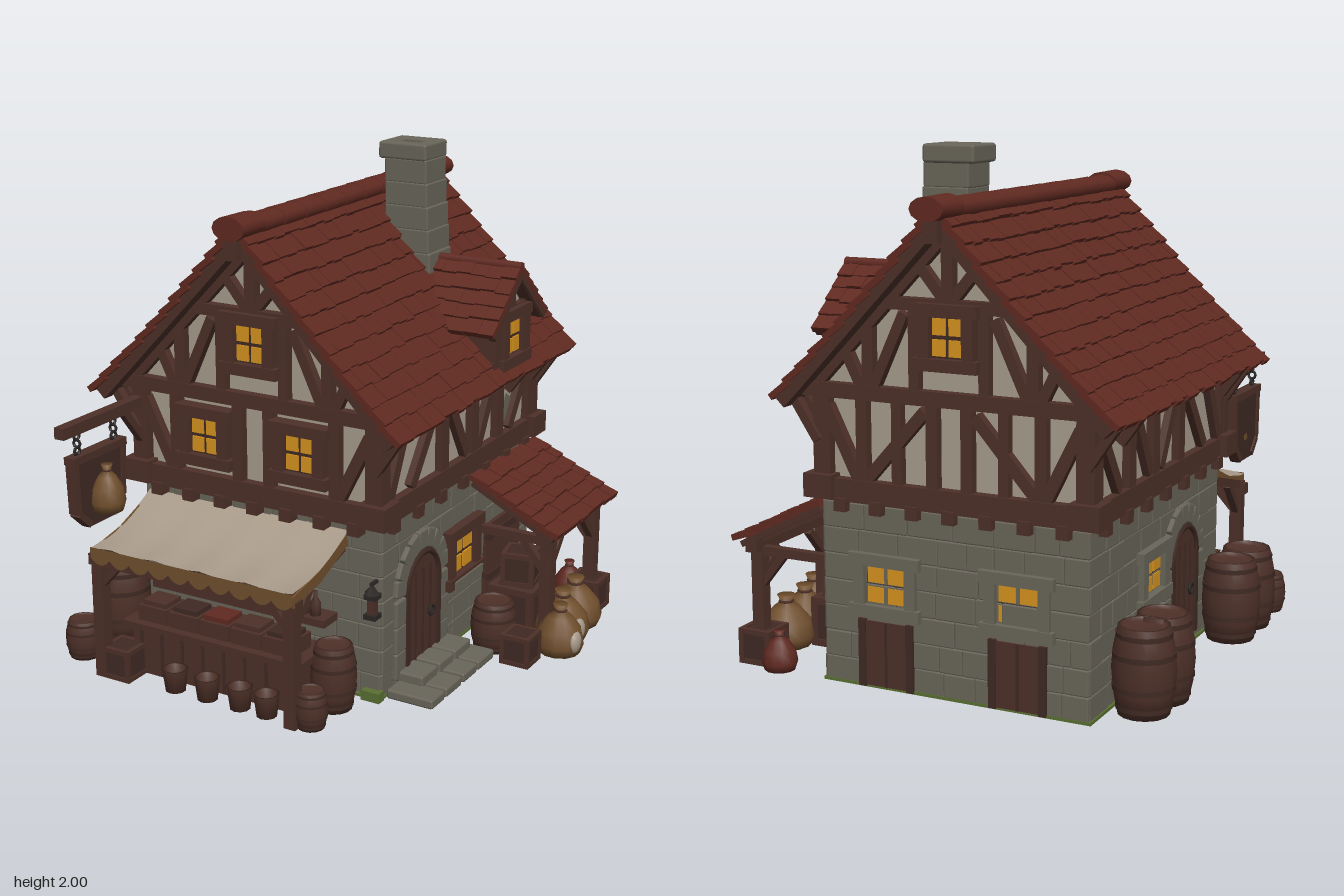
import * as THREE from 'three';
import { mergeGeometries } from 'three/addons/utils/BufferGeometryUtils.js';
import { RoundedBoxGeometry } from 'three/addons/geometries/RoundedBoxGeometry.js';

const colours = { roof: 0x602a21, wood: 0x4d3028, darkWood: 0x3f2923, stone: 0x696559, plaster: 0xa89d8d,
  cloth: 0xa89a89, sackcloth: 0x704f2d, glow: 0xd6931f, grass: 0x5a6f32, iron: 0x2b2725 };
const M = {};
for (const [name, color] of Object.entries(colours)) {
  M[name] = new THREE.MeshStandardMaterial({ color });
  M[name].name = name;
}
M.cloth.side = M.sackcloth.side = THREE.DoubleSide;

let seed = 7;
const rnd = (a = 0, b = 1) => { seed = (seed * 16807) % 2147483647; return a + (b - a) * seed / 2147483647; };
const V = (x, y, z) => new THREE.Vector3(x, y, z);

function add(parent, name, geo, mat, x = 0, y = 0, z = 0) {
  const m = new THREE.Mesh(geo, mat);
  m.name = name;
  m.position.set(x, y, z);
  parent.add(m);
  return m;
}
function group(parent, name, x = 0, y = 0, z = 0, ry = 0) {
  const g = new THREE.Group();
  g.name = name;
  g.position.set(x, y, z);
  g.rotation.y = ry;
  parent.add(g);
  return g;
}
const box = (p, name, mat, w, h, d, x, y, z) => add(p, name, new THREE.BoxGeometry(w, h, d), mat, x, y, z);
function beam(p, name, a, b, t, mat = M.wood, depth = t) {
  const dir = b.clone().sub(a);
  const m = add(p, name, new THREE.BoxGeometry(t, dir.length(), depth), mat);
  m.position.copy(a).add(b).multiplyScalar(0.5);
  m.quaternion.setFromUnitVectors(V(0, 1, 0), dir.normalize());
}
// Timbers on a wall facing +z of the parent: [x1, y1, x2, y2, thickness]
const timbers = (p, list, z) => list.forEach(([a, b, c, d, t]) =>
  beam(p, 'wallTimber', V(a, b, z), V(c, d, z), t, M.wood, 0.045));

// One slope of overlapping tiles, running down +x from the ridge
function slope(p, name, len, width, angle, rows, cols, sag = 0) {
  const g = group(p, name), tiles = [], step = len / rows, w = width / cols;
  for (let i = 0; i < rows; i++) for (let j = 0; j < cols; j++) {
    const t = (i + 0.5) / rows;
    const geo = new THREE.BoxGeometry(step * 1.3, 0.024, w * 1.01);
    geo.rotateZ(0.14);
    geo.translate(t * len + rnd(-0.006, 0.006), rnd(-0.003, 0.003) - sag * Math.sin(Math.PI * t), (j + 0.5) * w - width / 2);
    tiles.push(geo);
  }
  add(g, 'tiles', mergeGeometries(tiles), M.roof);
  box(g, 'roofBoards', M.wood, len * 0.96, 0.025, width * 0.97, len / 2, -0.028 - sag, 0);
  g.rotation.z = -angle;
}
function gableRoof(p, x, y, z, len, width, angle, rows, cols, sag) {
  for (const turn of [0, Math.PI])
    slope(group(p, 'roofSide', x, y, z, turn), 'slope', len, width, angle, rows, cols, sag);
}

// Leaded window facing +z
function windowUnit(p, x, y, z, ry, w, h, mat = M.wood) {
  const g = group(p, 'window', x, y, z, ry), f = 0.045;
  box(g, 'windowBacking', M.darkWood, w, h, 0.02, 0, 0, 0);
  for (const sx of [-1, 1]) {
    box(g, 'windowJamb', mat, f, h + f * 2, 0.05, sx * (w + f) / 2, 0, 0.01);
    box(g, 'windowRail', mat, w + f * 2.8, f, 0.06, 0, sx * (h + f) / 2, 0.012);
    for (const sy of [-1, 1])
      box(g, 'pane', M.glow, w * 0.4, h * 0.4, 0.008, sx * w * 0.25, sy * h * 0.25, 0.013);
  }
}

// Arched plank door facing +z with a ring of stones
function archDoor(p, x, z, ry, w, h) {
  const g = group(p, 'archedDoor', x, 0.05, z, ry), r = w / 2, s = new THREE.Shape();
  s.moveTo(-r, 0).lineTo(r, 0).lineTo(r, h - r).absarc(0, h - r, r, 0, Math.PI, false).lineTo(-r, 0);
  add(g, 'doorLeaf', new THREE.ExtrudeGeometry(s, { depth: 0.03, bevelEnabled: false, curveSegments: 12 }), M.wood);
  for (let i = -1; i <= 1; i++) box(g, 'plankGap', M.darkWood, 0.007, h * 0.82, 0.006, i * w * 0.24, h * 0.45, 0.032);
  add(g, 'doorRing', new THREE.TorusGeometry(0.02, 0.006, 6, 12), M.iron, r * 0.5, h * 0.42, 0.038);
  const arc = [];
  add(g, 'doorFrame', new THREE.TorusGeometry(r, 0.014, 5, 14, Math.PI), M.darkWood, 0, h - r, 0.03);
  for (const sx of [-1, 1]) {
    box(g, 'doorJamb', M.darkWood, 0.025, h - r, 0.04, sx * r, (h - r) / 2, 0.02);
    for (let i = 0; i < 3; i++) arc.push(new RoundedBoxGeometry(0.08, 0.11, 0.05, 1, 0.008).translate(sx * (r + 0.05), 0.05 + i * 0.108, 0.01));
  }
  for (let i = 0; i < 9; i++) {
    const a = Math.PI * (i + 0.5) / 9;
    arc.push(new RoundedBoxGeometry(0.08, 0.068, 0.05, 1, 0.008).translate(r + 0.05, 0, 0).rotateZ(a).translate(0, h - r, 0.01));
  }
  add(g, 'doorStones', mergeGeometries(arc), M.stone);
}

const lathe = (pts, n = 14) => new THREE.LatheGeometry(pts.map(q => new THREE.Vector2(...q)), n);
function barrel(p, x, z, r, h) {
  const g = group(p, 'barrel', x, 0, z);
  add(g, 'staves', lathe([[0, 0], [r * 0.8, 0], [r * 0.94, h * 0.25], [r, h * 0.5], [r * 0.94, h * 0.75], [r * 0.8, h], [r * 0.7, h], [r * 0.7, h * 0.95], [0, h * 0.95]]), M.wood);
  for (const [t, k] of [[0.1, 0.87], [0.32, 0.98], [0.68, 0.98], [0.9, 0.87]])
    add(g, 'hoop', new THREE.CylinderGeometry(r * k, r * k, h * 0.06, 14), M.darkWood, 0, h * t, 0);
}
function sack(p, x, y, z, r, h, mat = M.sackcloth) {
  const g = group(p, 'sack', x, y, z, rnd(0, 3));
  add(g, 'sackBody', lathe([[0, 0], [r * 0.85, 0.005], [r, h * 0.22], [r * 0.88, h * 0.5], [r * 0.5, h * 0.75], [r * 0.2, h * 0.87], [r * 0.32, h], [0, h * 0.96]], 12), mat);
  add(g, 'sackTie', new THREE.TorusGeometry(r * 0.22, r * 0.06, 5, 10).rotateX(Math.PI / 2), M.wood, 0, h * 0.87, 0);
}
function crate(p, x, y, z, s, h = s, ry = 0) {
  const g = group(p, 'crate', x, y + h / 2, z, ry), b = s * 0.14;
  box(g, 'crateBox', M.darkWood, s * 0.92, h * 0.92, s * 0.92, 0, 0, 0);
  for (let k = 0; k < 4; k++) {
    const f = group(g, 'crateSide', 0, 0, 0, k * Math.PI / 2), e = s / 2 - b / 2, v = h / 2 - b / 2;
    for (const q of [-1, 1]) {
      box(f, 'crateRail', M.wood, s, b, b, 0, q * v, e);
      beam(f, 'crateCross', V(-e, -v * q, e - 0.004), V(e, v * q, e - 0.004), b * 0.7);
    }
    box(f, 'cratePost', M.wood, b, h, b, e, 0, e);
  }
}

// Courses of slightly uneven blocks on a wall facing +z
function masonry(p, x, z, ry, width) {
  const g = group(p, 'stoneCourses', x, 0, z, ry), list = [];
  for (let r = 0; r < 7; r++) for (let u = -width / 2; u < width / 2 - 0.02;) {
    let w = rnd(0.09, 0.19);
    if (u + w > width / 2 - 0.07) w = width / 2 - u;
    list.push(new RoundedBoxGeometry(w, 0.1, 0.03 + rnd(0, 0.01), 1, 0.006).translate(u + w / 2, r * 0.1 + 0.05, 0));
    u += w;
  }
  add(g, 'wallStones', mergeGeometries(list), M.stone);
}

export function createModel() {
  const root = new THREE.Group();
  root.name = 'tavernHouse';
  const C = -0.135, ZC = -0.16, HP = Math.PI / 2;

  // Ground floor
  box(root, 'groundPlate', M.grass, 1.1, 0.012, 1.32, C, 0.006, -0.17);
  box(root, 'mossTuft', M.grass, 0.08, 0.04, 0.04, 0.38, 0.02, 0.49);
  box(root, 'groundFloor', M.stone, 1.05, 0.7, 1.27, C, 0.362, -0.175);
  masonry(root, C, 0.46, 0, 1.08);
  masonry(root, C, -0.81, Math.PI, 1.08);
  masonry(root, 0.395, -0.175, HP, 1.29);
  masonry(root, -0.66, -0.175, -HP, 1.29);

  // Upper floor and gable in plaster
  const wall = new THREE.Shape();
  wall.moveTo(-0.53, 0.7).lineTo(0.53, 0.7).lineTo(0.53, 1.13).lineTo(0, 1.72).lineTo(-0.53, 1.13);
  add(root, 'plasterWalls', new THREE.ExtrudeGeometry(wall, { depth: 1.29, bevelEnabled: false }), M.plaster, C, 0, -0.81);
  beam(root, 'barePlasterPatch', V(0.396, 0.82, -0.55), V(0.396, 0.93, -0.62), 0.008, M.stone, 0.06);

  // Timber framing on both gables
  for (const [z, ry] of [[0.485, 0], [-0.815, Math.PI]]) {
    const g = group(root, 'gableFraming', C, 0, z, ry);
    timbers(g, [[-0.56, 0.75, 0.56, 0.75, 0.085], [-0.64, 1.12, 0.64, 1.12, 0.055], [-0.3, 1.455, 0.3, 1.455, 0.045], [0, 1.46, 0, 1.72, 0.045]], 0.012);
    windowUnit(g, 0, 1.345, 0.02, 0, 0.13, 0.15);
    for (const s of [-1, 1]) {
      timbers(g, [[s * 0.53, 0.72, s * 0.53, 1.14, 0.07], [s * 0.07, 0.79, s * 0.07, 1.1, 0.045],
        [s * 0.36, 0.79, s * 0.36, 1.1, 0.045], [s * 0.38, 0.8, s * 0.51, 1.06, 0.045], [0, 1.73, s * 0.58, 1.12, 0.06],
        [s * 0.14, 1.12, s * 0.14, 1.46, 0.04], [s * 0.33, 1.12, s * 0.33, 1.36, 0.045], [s * 0.18, 1.42, s * 0.31, 1.14, 0.04],
        [s * 0.36, 1.14, s * 0.42, 1.26, 0.04], [s * 0.02, 1.48, s * 0.12, 1.6, 0.04]], 0.008);
      // Windows at the front, crossed braces at the back
      if (ry === 0) windowUnit(g, s * 0.215, 0.95, 0.02, 0, 0.13, 0.15);
      else timbers(g, [[s * 0.1, 1.07, s * 0.34, 0.8, 0.045], [s * 0.215, 0.79, s * 0.215, 1.1, 0.04]], 0.006);
      beam(g, 'bargeboard', V(0, 1.755, 0.095), V(s * 0.65, 1.075, 0.095), 0.05, M.wood, 0.05);
      beam(g, 'eaveStrut', V(s * 0.54, 0.93, 0.03), V(s * 0.64, 1.08, 0.03), 0.035);
      box(g, 'cornerBlock', M.wood, 0.12, 0.09, 0.12, s * 0.535, 0.76, 0);
    }
    for (let i = 0; i < 7; i++) box(g, 'corbel', M.wood, 0.05, 0.05, 0.07, -0.45 + i * 0.15, 0.695, 0.01);
  }

  // Timber framing on both long sides, mirrored
  for (const s of [-1, 1]) {
    const g = group(root, 'sideFraming', C + s * 0.53, 0, ZC, s * HP);
    timbers(g, [[-0.66, 0.75, 0.66, 0.75, 0.085], [-0.66, 1.09, 0.66, 1.09, 0.05]], 0.012);
    timbers(g, [-0.63, -0.16, 0.1, 0.33, 0.63].map(u => [s * u, 0.78, s * u, 1.08, 0.06]), 0.008);
    timbers(g, [[-0.59, 0.8, -0.46, 1.07], [-0.42, 0.8, -0.22, 1.07], [-0.12, 1.07, 0.04, 0.8], [0.14, 0.8, 0.29, 1.07], [0.43, 0.8, 0.6, 1.05]]
      .map(([a, b, c, d]) => [s * a, b, s * c, d, 0.048]), 0.006);
    for (let i = 0; i < 7; i++) box(g, 'corbel', M.wood, 0.05, 0.05, 0.07, -0.57 + i * 0.19, 0.695, 0.01);
    for (const u of [-0.63, 0.42, 0.63]) beam(g, 'rafterFoot', V(s * u, 0.97, 0.02), V(s * u, 1.08, 0.1), 0.035);
  }

  // Main roof with low rounded ridge tiles
  gableRoof(root, C, 1.805, ZC, 0.98, 1.56, 0.806, 12, 27, 0.012);
  for (let i = 0; i < 11; i++) {
    const end = i === 0 || i === 10, r = end ? 0.07 : 0.062;
    add(root, 'ridgeTile', new THREE.CylinderGeometry(r, r * 0.95, 0.155, 12).rotateX(HP).scale(1, 0.66, 1), M.roof, C, end ? 1.804 : 1.796, -0.917 + i * 0.149);
  }
  for (const z of [0.615, -0.945]) box(root, 'ridgePost', M.wood, 0.06, 0.1, 0.05, C, 1.735, z);

  // Chimney with an open top
  for (let i = 0; i < 7; i++) {
    const w = 0.187 + (6 - i) * 0.004;
    add(root, 'chimneyCourse', new RoundedBoxGeometry(w + rnd(0, 0.006), 0.098, w - 0.012, 1, 0.008), M.stone, 0.055 + (6 - i) * 0.004, 1.33 + i * 0.093, -0.415);
  }
  box(root, 'flueHole', M.iron, 0.1, 0.01, 0.09, 0.04, 1.96, -0.42);
  for (const s of [-1, 1]) {
    add(root, 'chimneyCap', new RoundedBoxGeometry(0.06, 0.07, 0.19, 1, 0.012), M.stone, 0.04 + s * 0.078, 1.965, -0.42);
    add(root, 'chimneyCap', new RoundedBoxGeometry(0.2, 0.07, 0.055, 1, 0.012), M.stone, 0.04, 1.965, -0.42 + s * 0.067);
  }

  // Dormer
  const d = group(root, 'dormer', 0, 0, -0.415, HP), face = new THREE.Shape();
  face.moveTo(-0.15, 1.1).lineTo(0.15, 1.1).lineTo(0.15, 1.36).lineTo(0, 1.5).lineTo(-0.15, 1.36);
  add(d, 'dormerWall', new THREE.ExtrudeGeometry(face, { depth: 0.33, bevelEnabled: false }), M.plaster, 0, 0, 0.15);
  gableRoof(d, 0, 1.535, 0.345, 0.33, 0.39, 0.75, 5, 6);
  timbers(d, [[-0.17, 1.15, 0.17, 1.15, 0.05], [-0.19, 1.355, 0.19, 1.355, 0.04], [0, 1.36, 0, 1.5, 0.035]], 0.485);
  for (const s of [-1, 1]) {
    timbers(d, [[s * 0.13, 1.13, s * 0.13, 1.38, 0.06]], 0.487);
    beam(d, 'dormerBargeboard', V(0, 1.51, 0.525), V(s * 0.235, 1.295, 0.525), 0.04, M.wood, 0.03);
    box(d, 'dormerSideBoards', M.wood, 0.02, 0.22, 0.29, s * 0.15, 1.24, 0.34);
  }
  windowUnit(d, 0, 1.25, 0.49, 0, 0.13, 0.15);
  add(root, 'dormerRidge', new THREE.CylinderGeometry(0.02, 0.02, 0.4, 8).rotateZ(HP), M.roof, 0.34, 1.535, -0.415);

  // Doors and windows of the ground floor
  archDoor(root, 0.395, 0.175, HP, 0.25, 0.46);
  archDoor(root, -0.66, 0.06, -HP, 0.25, 0.46);
  windowUnit(root, 0.41, 0.395, -0.165, HP, 0.18, 0.16);
  box(root, 'windowSill', M.stone, 0.07, 0.035, 0.24, 0.425, 0.285, -0.17);
  windowUnit(root, -0.665, 0.4, -0.25, -HP, 0.17, 0.14, M.stone);
  for (const x of [0.14, -0.4]) {
    windowUnit(root, x, 0.4, -0.812, Math.PI, 0.17, 0.15, M.stone);
    box(root, 'backDoor', M.wood, 0.19, 0.25, 0.03, x, 0.135, -0.82);
    for (const s of [-1, 1]) box(root, 'backDoorJamb', M.darkWood, 0.03, 0.26, 0.04, x + s * 0.1, 0.135, -0.82);
    box(root, 'backDoorGap', M.darkWood, 0.01, 0.25, 0.008, x, 0.135, -0.835);
  }
  box(root, 'storeDoor', M.wood, 0.03, 0.42, 0.32, 0.415, 0.22, -0.54);
  for (const y of [0.2, 0.38]) box(root, 'storeDoorBar', M.darkWood, 0.04, 0.03, 0.32, 0.42, y, -0.54);

  // Door steps
  for (const [z, w] of [[0.4, 0.11], [0.27, 0.13], [0.13, 0.12], [-0.01, 0.14]]) {
    add(root, 'step', new RoundedBoxGeometry(0.2, 0.04, w, 1, 0.01), M.stone, 0.52, 0.02, z);
    if (z < 0.35) add(root, 'upperStep', new RoundedBoxGeometry(0.12, 0.045, w, 1, 0.01), M.stone, 0.47, 0.055, z + 0.03);
  }

  // Lean-to on the right side
  slope(group(root, 'leanToRoof', 0.43, 0.69, -0.53), 'leanToSlope', 0.42, 0.6, 0.47, 6, 10);
  beam(root, 'leanToPlate', V(0.74, 0.475, -0.82), V(0.74, 0.475, -0.24), 0.05);
  for (const z of [-0.31, -0.76]) {
    box(root, 'leanToPost', M.wood, 0.05, 0.46, 0.05, 0.74, 0.23, z);
    beam(root, 'leanToRafter', V(0.42, 0.655, z), V(0.78, 0.48, z), 0.045);
    beam(root, 'leanToTie', V(0.42, 0.45, z), V(0.74, 0.45, z), 0.035);
    beam(root, 'leanToBrace', V(0.74, 0.3, z), V(0.62, 0.45, z), 0.03);
    beam(root, 'leanToBrace', V(0.74, 0.32, z), V(0.74, 0.44, z + (z < -0.5 ? 0.11 : -0.11)), 0.03);
  }

  // Market stall awning
  const cloth = new THREE.PlaneGeometry(0.92, 1, 18, 8), P = cloth.attributes.position;
  for (let i = 0; i < P.count; i++) {
    const x = P.getX(i), t = 0.5 - P.getY(i);
    P.setXYZ(i, x, 0.67 - 0.12 * t - 0.03 * Math.sin(Math.PI * t) + 0.006 * t * Math.sin(x * 30), 0.47 + 0.4 * t);
  }
  cloth.computeVertexNormals();
  add(root, 'awningCloth', cloth, M.cloth, -0.195, 0, 0);
  const edge = new THREE.Shape().moveTo(-0.46, 0.55).lineTo(0.46, 0.55).lineTo(0.46, 0.51);
  for (let i = 0; i < 10; i++) edge.quadraticCurveTo(0.414 - i * 0.092, 0.455, 0.368 - i * 0.092, 0.51);
  add(root, 'awningValance', new THREE.ShapeGeometry(edge), M.sackcloth, -0.195, 0, 0.87);
  for (const x of [-0.64, 0.235]) {
    box(root, 'stallPost', M.wood, 0.05, 0.52, 0.05, x, 0.26, 0.83);
    beam(root, 'stallRafter', V(x, 0.6, 0.47), V(x, 0.5, 0.85), 0.035);
    beam(root, 'stallBrace', V(x, 0.38, 0.83), V(x + (x < 0 ? 0.1 : -0.1), 0.49, 0.83), 0.03);
    beam(root, 'stallBrace', V(x, 0.38, 0.83), V(x, 0.53, 0.7), 0.03);
  }
  for (const x of [-0.65, 0.26]) {
    beam(root, 'awningSideHem', V(x, 0.63, 0.48), V(x, 0.555, 0.67), 0.008, M.sackcloth, 0.045);
    beam(root, 'awningSideHem', V(x, 0.555, 0.66), V(x, 0.515, 0.865), 0.008, M.sackcloth, 0.045);
  }
  beam(root, 'stallBeam', V(-0.68, 0.49, 0.83), V(0.27, 0.49, 0.83), 0.045);

  // Counter, shelf and goods
  box(root, 'counter', M.wood, 0.76, 0.2, 0.16, -0.18, 0.1, 0.66);
  box(root, 'counterTop', M.wood, 0.82, 0.025, 0.22, -0.18, 0.21, 0.66);
  for (let i = 0; i < 8; i++) box(root, 'counterSlat', M.darkWood, 0.012, 0.19, 0.008, -0.52 + i * 0.097, 0.1, 0.742);
  for (let i = 0; i < 5; i++) {
    box(root, 'tray', M.wood, 0.135, 0.07, 0.13, -0.47 + i * 0.145, 0.25, 0.67);
    box(root, 'trayGoods', [M.wood, M.darkWood, M.roof][i % 3], 0.11, 0.02, 0.1, -0.47 + i * 0.145, 0.294, 0.67);
  }
  box(root, 'bottleShelf', M.wood, 0.8, 0.03, 0.1, -0.18, 0.31, 0.53);
  for (let i = 0; i < 12; i++)
    add(root, 'bottle', lathe([[0, 0], [0.022, 0], [0.022, 0.05], [0.008, 0.075], [0.008, 0.1], [0, 0.1]], 8), i % 3 ? M.wood : M.darkWood, -0.37 + i * 0.048, 0.322, 0.54);
  crate(root, -0.47, 0.322, 0.54, 0.1);
  crate(root, -0.57, 0, 0.79, 0.13);
  for (const x of [-0.32, -0.17, -0.02, 0.1])
    add(root, 'tub', lathe([[0, 0], [0.04, 0], [0.052, 0.09], [0.042, 0.09], [0.036, 0.06], [0, 0.06]], 10), M.wood, x, 0, 0.8);

  // Barrels, crates and sacks around the house
  for (const [x, z] of [[-0.8, -0.62], [-0.81, -0.46], [-0.8, 0.31], [-0.8, 0.5]]) barrel(root, x, z, 0.12, 0.33);
  barrel(root, -0.82, 0.73, 0.075, 0.16);
  barrel(root, 0.28, 0.61, 0.09, 0.26);
  barrel(root, 0.29, 0.79, 0.065, 0.15);
  barrel(root, 0.57, -0.17, 0.095, 0.21);
  crate(root, 0.72, 0, -0.11, 0.125);
  crate(root, 0.74, 0, -0.75, 0.14);
  crate(root, 0.57, 0, -0.42, 0.2);
  crate(root, 0.57, 0.2, -0.42, 0.14, 0.14, 0.2);
  for (const [x, z, r, h] of [[0.82, -0.27, 0.1, 0.21], [0.77, -0.41, 0.115, 0.21], [0.76, -0.56, 0.115, 0.21]]) sack(root, x, 0, z, r, h);
  for (const [x, z] of [[0.895, -0.25], [0.86, -0.37]])
    add(root, 'sackPatch', new THREE.SphereGeometry(0.04, 10, 8).scale(0.6, 1.2, 1), M.cloth, x, 0.065, z);
  sack(root, 0.62, 0, -0.82, 0.07, 0.16, M.roof);

  // Hanging sign
  const X = -0.67;
  beam(root, 'signArm', V(X, 1.04, 0.48), V(X, 1.04, 1), 0.045);
  beam(root, 'signArmBrace', V(X, 0.88, 0.5), V(X, 1.03, 0.62), 0.03);
  const board = new THREE.Shape().moveTo(-0.15, 0.92).lineTo(0.15, 0.92).lineTo(0.14, 0.7).lineTo(0.08, 0.63).lineTo(-0.08, 0.63).lineTo(-0.14, 0.7);
  const sign = group(root, 'sign', X, 0, 0.79, HP);
  add(sign, 'signBoard', new THREE.ExtrudeGeometry(board, { depth: 0.03, bevelEnabled: false }), M.darkWood, 0, 0, -0.015);
  box(sign, 'signTop', M.wood, 0.32, 0.03, 0.05, 0, 0.915, 0);
  for (const s of [-1, 1]) {
    for (let i = 0; i < 3; i++) add(sign, 'chainLink', new THREE.TorusGeometry(0.016, 0.006, 5, 8), M.iron, s * 0.11, 0.945 + i * 0.03, 0).rotation.y = i * HP;
    beam(sign, 'signEdge', V(s * 0.145, 0.92, 0), V(s * 0.135, 0.7, 0), 0.025, M.wood, 0.045);
    beam(sign, 'signEdge', V(s * 0.135, 0.7, 0), V(s * 0.07, 0.64, 0), 0.025, M.wood, 0.045);
  }
  sack(root, X + 0.05, 0.68, 0.79, 0.07, 0.19);

  // Wall lantern by the corner
  const lamp = group(root, 'lantern', 0.39, 0.4, 0.51);
  box(lamp, 'lanternGlass', M.wood, 0.03, 0.06, 0.03, 0, 0, 0);
  for (const y of [-0.04, 0.04]) box(lamp, 'lanternPlate', M.iron, 0.05, 0.02, 0.05, 0, y, 0);
  add(lamp, 'lanternCap', new THREE.ConeGeometry(0.035, 0.04, 4), M.iron, 0, 0.07, 0);
  beam(lamp, 'lanternArm', V(0, 0.09, -0.05), V(0, 0.09, 0.01), 0.012, M.iron);
  return root;
}
